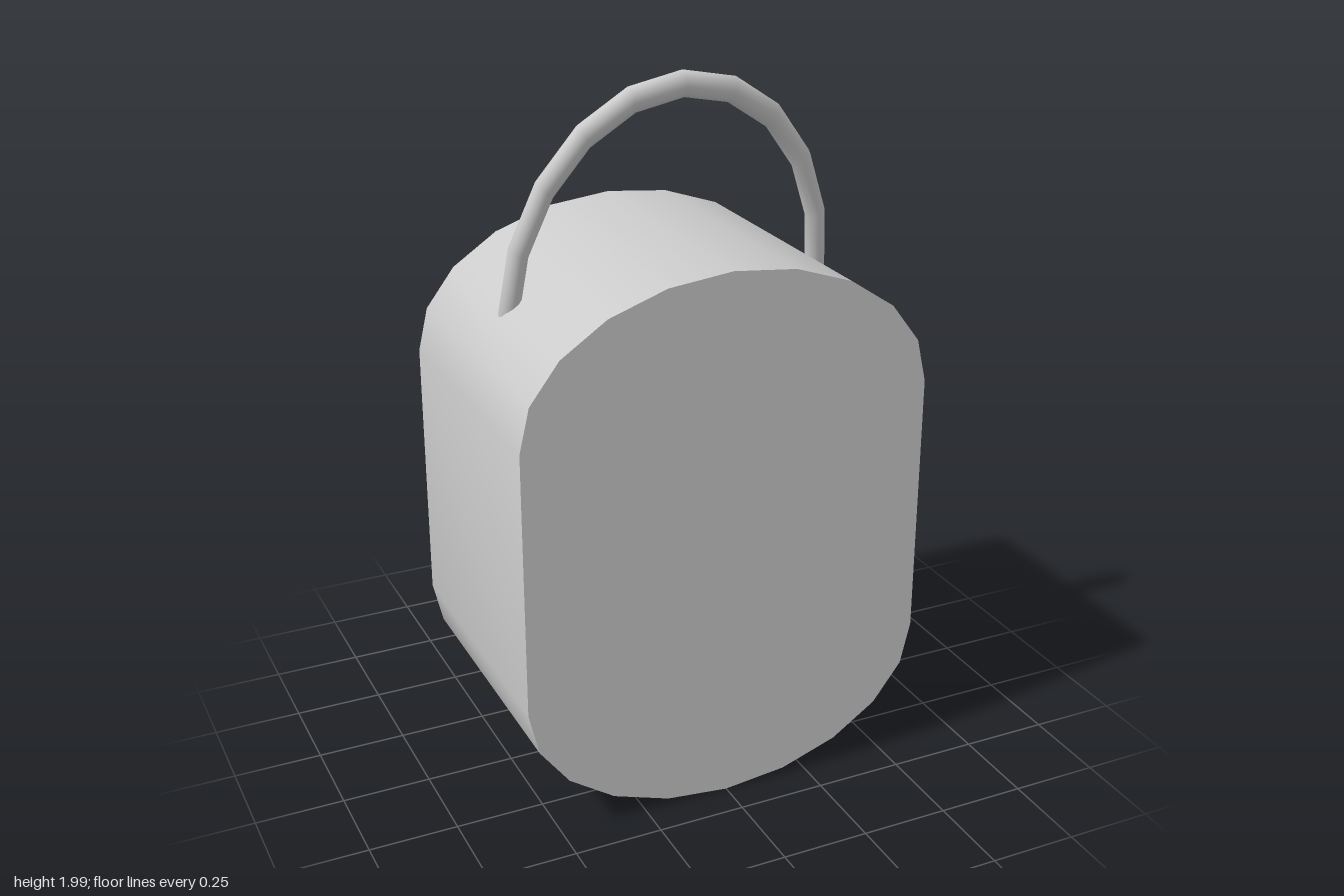
import * as THREE from 'three';
import { mergeGeometries, toCreasedNormals } from 'three/addons/utils/BufferGeometryUtils.js';

const BACK = -0.4, FRONT = 0.4, FLOOR = -0.3;

// Arc of an ellipse as a list of points, ends included
function arc(cy, rx, ry, from, to, n) {
  return Array.from({ length: n + 1 }, (_, i) => {
    const a = from + ((to - from) * i) / n;
    return new THREE.Vector2(rx * Math.cos(a), cy + ry * Math.sin(a));
  });
}

// Strip around a closed outline; it faces outward for a counter-clockwise outline
function wall(points, z0, z1) {
  const n = points.length;
  const geometry = new THREE.PlaneGeometry(1, 1, n, 1);
  const pos = geometry.attributes.position;
  for (let i = 0; i < pos.count; i++) {
    const p = points[(i % (n + 1)) % n];
    pos.setXYZ(i, p.x, p.y, i <= n ? z1 : z0);
  }
  return geometry;
}

// Flat cap facing the back; the outlines are symmetric, so a half turn is enough
function backCap(shape, z) {
  return new THREE.ShapeGeometry(shape).rotateY(Math.PI).translate(0, 0, z);
}

export function createModel() {
  const group = new THREE.Group();
  const material = new THREE.MeshStandardMaterial({ color: 0xcccccc });

  // Body outline: straight sides between two half ellipses
  const outline = [
    ...arc(1.15, 0.587, 0.395, 0, Math.PI, 10),
    ...arc(0.397, 0.587, 0.395, Math.PI, Math.PI * 2, 10),
  ];

  // Keyhole outline: round opening with a tapering slot below
  const gap = 0.535;
  const keyhole = [
    ...arc(0.735, 0.098, 0.098, -Math.PI / 2 + gap, Math.PI * 1.5 - gap, 14),
    new THREE.Vector2(-0.035, 0.555),
    new THREE.Vector2(0.035, 0.555),
  ];

  const solid = new THREE.Shape(outline);
  const pierced = new THREE.Shape(outline);
  pierced.holes.push(new THREE.Path(keyhole));

  // Case with the recessed keyhole in its back
  const body = mergeGeometries([
    new THREE.ShapeGeometry(solid).translate(0, 0, FRONT),
    backCap(pierced, BACK),
    wall(outline, BACK, FRONT),
    wall([...keyhole].reverse(), BACK, FLOOR),
    backCap(new THREE.Shape(keyhole), FLOOR),
  ]);
  const bodyMesh = new THREE.Mesh(toCreasedNormals(body, 0.6), material);
  bodyMesh.name = 'lockBody';
  group.add(bodyMesh);

  // Shackle: stretched half ring, leaning forward
  const shackle = new THREE.Mesh(
    new THREE.TorusGeometry(0.46, 0.028, 12, 10, Math.PI),
    material,
  );
  shackle.name = 'shackle';
  shackle.position.y = 1.36;
  shackle.rotation.x = 0.165;
  shackle.scale.y = 1.32;
  group.add(shackle);

  return group;
}
